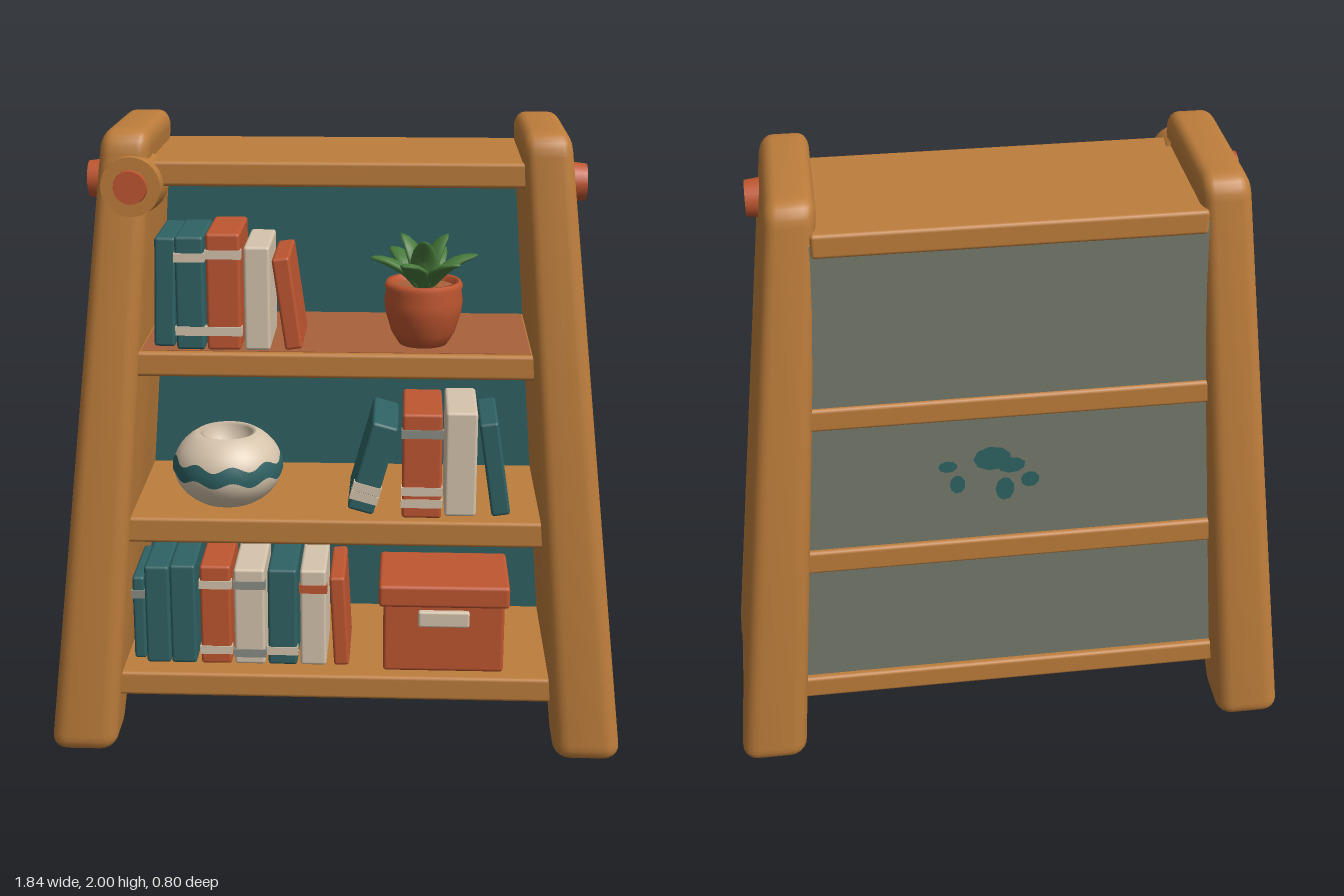
import * as THREE from 'three';
import { toCreasedNormals } from 'three/addons/utils/BufferGeometryUtils.js';
import { RoundedBoxGeometry } from 'three/addons/geometries/RoundedBoxGeometry.js';

const material = (name, color) => {
  const m = new THREE.MeshStandardMaterial({ color });
  m.name = name;
  return m;
};
const wood = material('wood', 0xbd7d3b);
const redWood = material('reddishWood', 0xa8623a);
const teal = material('teal', 0x2f6264);
const backGrey = material('backGrey', 0x74796b);
const terracotta = material('terracotta', 0xbf5630);
const cream = material('cream', 0xd6c4ac);
const green = material('leafGreen', 0x487a3c);
const grey = material('bandGrey', 0x8b8f86);
backGrey.side = cream.side = teal.side = THREE.DoubleSide;

// Inner and outer faces of the splayed side panels at height y
const inner = (y) => 0.71 - 0.08 * y;
const outer = (y) => 0.925 - 0.113 * y;

function add(parent, name, geometry, mat, x = 0, y = 0, z = 0) {
  const mesh = new THREE.Mesh(geometry, mat);
  mesh.name = name;
  mesh.position.set(x, y, z);
  parent.add(mesh);
  return mesh;
}

const box = (w, h, d, r = 0.012) => new RoundedBoxGeometry(w, h, d, 2, r);

// Closed polygon whose corners [x, y, radius] are rounded
function roundedShape(points) {
  const shape = new THREE.Shape();
  points.forEach(([x, y, r], i) => {
    const p = new THREE.Vector2(x, y);
    const toward = ([a, b]) => new THREE.Vector2(a, b).sub(p).setLength(r).add(p);
    const a = toward(points.at(i - 1));
    const b = toward(points[(i + 1) % points.length]);
    if (i) shape.lineTo(a.x, a.y); else shape.moveTo(a.x, a.y);
    shape.quadraticCurveTo(x, y, b.x, b.y);
  });
  shape.closePath();
  return shape;
}

// Tapered, leaning side panel with a foot notch
function sidePanel(side) {
  const half = [[0.265, 2, 0.07], [0.405, 0, 0.06], [0.2, 0, 0.05], [0.15, 0.105, 0.04]];
  const mirrored = half.map(([u, y, r]) => [-u, y, r]).reverse();
  const T = 0.2, b = 0.05;
  let g = new THREE.ExtrudeGeometry(roundedShape([...mirrored, ...half].reverse()), {
    depth: T - 2 * b, bevelThickness: b, bevelSize: b, bevelOffset: -b, bevelSegments: 5, curveSegments: 6,
  });
  g.translate(0, 0, b).rotateY(side * Math.PI / 2);
  const p = g.attributes.position;
  for (let i = 0; i < p.count; i++) {
    const y = p.getY(i);
    p.setX(i, side * THREE.MathUtils.lerp(inner(y), outer(y), Math.abs(p.getX(i)) / T));
  }
  return toCreasedNormals(g, 0.6);
}

// Book standing on y; lean moves its top sideways, bands are [height, material]
function book(parent, mat, x0, x1, y, h, { lean = 0, bands = [], front = 0.25 } = {}) {
  const g = new THREE.Group();
  g.name = 'book';
  const w = x1 - x0, d = 0.28;
  add(g, 'cover', box(w, h, d, 0.01), mat, 0, h / 2, 0);
  for (const [at, m] of bands)
    add(g, 'spineBand', new THREE.BoxGeometry(w + 0.006, 0.028, 0.03), m, 0, at, d / 2 - 0.012);
  g.position.set((x0 + x1) / 2, y + Math.abs(Math.sin(lean)) * w / 2, front - d / 2);
  g.rotation.z = -lean;
  parent.add(g);
}

function plant(parent, x, y, z) {
  const g = new THREE.Group();
  g.name = 'pottedPlant';
  g.position.set(x, y, z);
  const profile = [[0, 0], [0.075, 0], [0.1, 0.04], [0.118, 0.1], [0.122, 0.14], [0.117, 0.17],
    [0.122, 0.185], [0.115, 0.2], [0.1, 0.198], [0.095, 0.17]];
  add(g, 'pot', new THREE.LatheGeometry(profile.map(([r, h]) => new THREE.Vector2(r, h)), 28), terracotta);
  add(g, 'soil', new THREE.CylinderGeometry(0.1, 0.1, 0.01, 24), redWood, 0, 0.175);
  // Two rings of pointed leaves
  for (let i = 0; i < 9; i++) {
    const low = i < 6;
    const leaf = new THREE.SphereGeometry(1, 12, 8);
    const p = leaf.attributes.position;
    const len = low ? 0.095 : 0.085;
    for (let k = 0; k < p.count; k++) {
      const t = p.getX(k);
      p.setXYZ(k, (t + 1) * len, p.getY(k) * 0.014 - 0.025 * t * t, p.getZ(k) * 0.042 * (1 - 0.25 * t));
    }
    leaf.computeVertexNormals();
    const m = add(g, 'leaf', leaf, green, 0, 0.19, 0);
    m.rotation.order = 'YZX';
    m.rotation.y = low ? i * Math.PI / 3 + 0.15 : i * Math.PI * 2 / 3 + 0.5;
    m.rotation.z = low ? 0.6 : 1.2;
  }
  parent.add(g);
}

function vase(parent, x, y, z) {
  const g = new THREE.Group();
  g.name = 'roundVase';
  g.position.set(x, y + 0.115, z);
  const radius = (h) => 0.176 * Math.sqrt(1 - (h / 0.137) ** 2);
  const pts = [new THREE.Vector2(0, -0.115)];
  for (let i = 0; i <= 14; i++) {
    const h = -0.115 + 0.23 * i / 14;
    pts.push(new THREE.Vector2(radius(h), h));
  }
  pts.push(new THREE.Vector2(0.08, 0.108), new THREE.Vector2(0.085, 0.04), new THREE.Vector2(0, 0));
  add(g, 'vaseBody', new THREE.LatheGeometry(pts, 40), cream);
  // Wavy painted stripe following the curve of the body
  const rows = [-0.026, -0.009, 0.009, 0.026].map((h) => new THREE.Vector2(1, h));
  const stripe = new THREE.LatheGeometry(rows, 96);
  const p = stripe.attributes.position;
  for (let i = 0; i < p.count; i++) {
    const a = Math.atan2(p.getX(i), p.getZ(i));
    const h = p.getY(i) + 0.01 * Math.sin(a * 9) + 0.01;
    const r = radius(h) + 0.003;
    p.setXYZ(i, Math.sin(a) * r, h, Math.cos(a) * r);
  }
  stripe.computeVertexNormals();
  add(g, 'vaseStripe', stripe, teal);
  parent.add(g);
}

export function createModel() {
  const model = new THREE.Group();
  model.name = 'bookshelf';

  // Sides and outer pegs
  for (const s of [1, -1]) {
    add(model, s > 0 ? 'leftSide' : 'rightSide', sidePanel(s), wood);
    const peg = add(model, 'sidePeg', new THREE.CylinderGeometry(0.055, 0.063, 0.06, 20), terracotta, s * 0.727, 1.835, 0.135);
    peg.rotation.z = -s * Math.PI / 2;
  }
  // Front peg on its round boss
  const boss = add(model, 'pegBoss', new THREE.CylinderGeometry(0.09, 0.1, 0.12, 28), wood, -0.61, 1.835, 0.229);
  const frontPeg = add(model, 'frontPeg', new THREE.CylinderGeometry(0.05, 0.056, 0.05, 20), terracotta, -0.61, 1.835, 0.28);
  boss.rotation.x = frontPeg.rotation.x = Math.PI / 2;

  // Shelves: bottom, top, front z, back z
  const shelves = [[0.175, 0.257, 0.325, -0.29], [0.7, 0.785, 0.3, -0.285], [1.243, 1.322, 0.275, -0.28], [1.83, 1.907, 0.245, -0.275]];
  for (const [y0, y1, zf, zb] of shelves)
    add(model, 'shelf', box(2 * inner(y1) + 0.04, y1 - y0, zf - zb), wood, 0, (y0 + y1) / 2, (zf + zb) / 2);
  add(model, 'upperShelfFace', new THREE.BoxGeometry(1.2, 0.004, 0.5), redWood, 0, 1.322, 0.005);

  // Back board, teal inside and grey outside
  const [yb, yt] = [0.2, 1.87];
  const [wb, wt] = [inner(yb) + 0.02, inner(yt) + 0.02];
  const board = new THREE.Shape([[-wb, yb], [wb, yb], [wt, yt], [-wt, yt]].map(([x, y]) => new THREE.Vector2(x, y)));
  const boardGeometry = new THREE.ExtrudeGeometry(board, { depth: 0.009, bevelEnabled: false });
  add(model, 'backBoardInside', boardGeometry, teal, 0, 0, -0.259);
  add(model, 'backBoardOutside', boardGeometry, backGrey, 0, 0, -0.268);
  // Worn patches on the back: x, y, width, height
  for (const [x, y, w, h] of [[0.2, 1.07, 0.03, 0.022], [0.17, 1.0, 0.025, 0.035], [0.06, 1.09, 0.06, 0.045],
    [0.0, 1.06, 0.045, 0.03], [0.02, 0.97, 0.03, 0.045], [-0.06, 1.0, 0.03, 0.03]])
    add(model, 'wornPatch', new THREE.CircleGeometry(1, 9).scale(w, h, 1), teal, x, y, -0.27);

  // Upper shelf
  const up = 1.324;
  const pair = (m, lo, hi) => [[lo, m], [hi, m]];
  book(model, teal, -0.565, -0.5, up, 0.345, { lean: 0.03, front: 0.22 });
  book(model, teal, -0.49, -0.402, up, 0.355, { bands: pair(cream, 0.06, 0.29) });
  book(model, terracotta, -0.395, -0.29, up, 0.365, { bands: pair(cream, 0.06, 0.3) });
  book(model, cream, -0.28, -0.2, up, 0.325);
  book(model, terracotta, -0.155, -0.1, up, 0.29, { lean: -0.14 });
  plant(model, 0.27, up, 0.13);

  // Middle shelf
  const mid = 0.785;
  vase(model, -0.355, mid, 0.1);
  book(model, teal, 0.035, 0.12, mid, 0.3, { lean: 0.27, bands: pair(cream, 0.05, 0.08) });
  book(model, terracotta, 0.21, 0.335, mid, 0.345, { front: 0.27, bands: [...pair(cream, 0.05, 0.09), [0.28, grey]] });
  book(model, cream, 0.345, 0.445, mid, 0.345);
  book(model, teal, 0.495, 0.555, mid, 0.31, { lean: -0.15 });

  // Lower shelf
  const low = 0.257;
  book(model, teal, -0.665, -0.625, low, 0.29, { front: 0.22, bands: [[0.23, grey]] });
  book(model, teal, -0.62, -0.54, low, 0.34);
  book(model, teal, -0.538, -0.455, low, 0.345);
  book(model, terracotta, -0.44, -0.34, low, 0.345, { bands: pair(cream, 0.05, 0.28) });
  book(model, cream, -0.33, -0.23, low, 0.335, { bands: pair(grey, 0.04, 0.28) });
  book(model, teal, -0.22, -0.125, low, 0.335, { bands: [[0.05, cream]] });
  book(model, cream, -0.115, -0.03, low, 0.335, { bands: [[0.27, terracotta]] });
  book(model, terracotta, -0.005, 0.045, low, 0.31, { lean: -0.05 });

  // Storage box with lid and label
  const crate = new THREE.Group();
  crate.name = 'storageBox';
  crate.position.set(0.35, low, 0.14);
  add(crate, 'boxBody', box(0.39, 0.26, 0.28), terracotta, 0, 0.13, 0);
  add(crate, 'boxLid', box(0.42, 0.075, 0.3), terracotta, 0, 0.265, 0);
  add(crate, 'boxLabel', box(0.165, 0.055, 0.03, 0.008), cream, 0, 0.19, 0.142);
  model.add(crate);

  return model;
}
